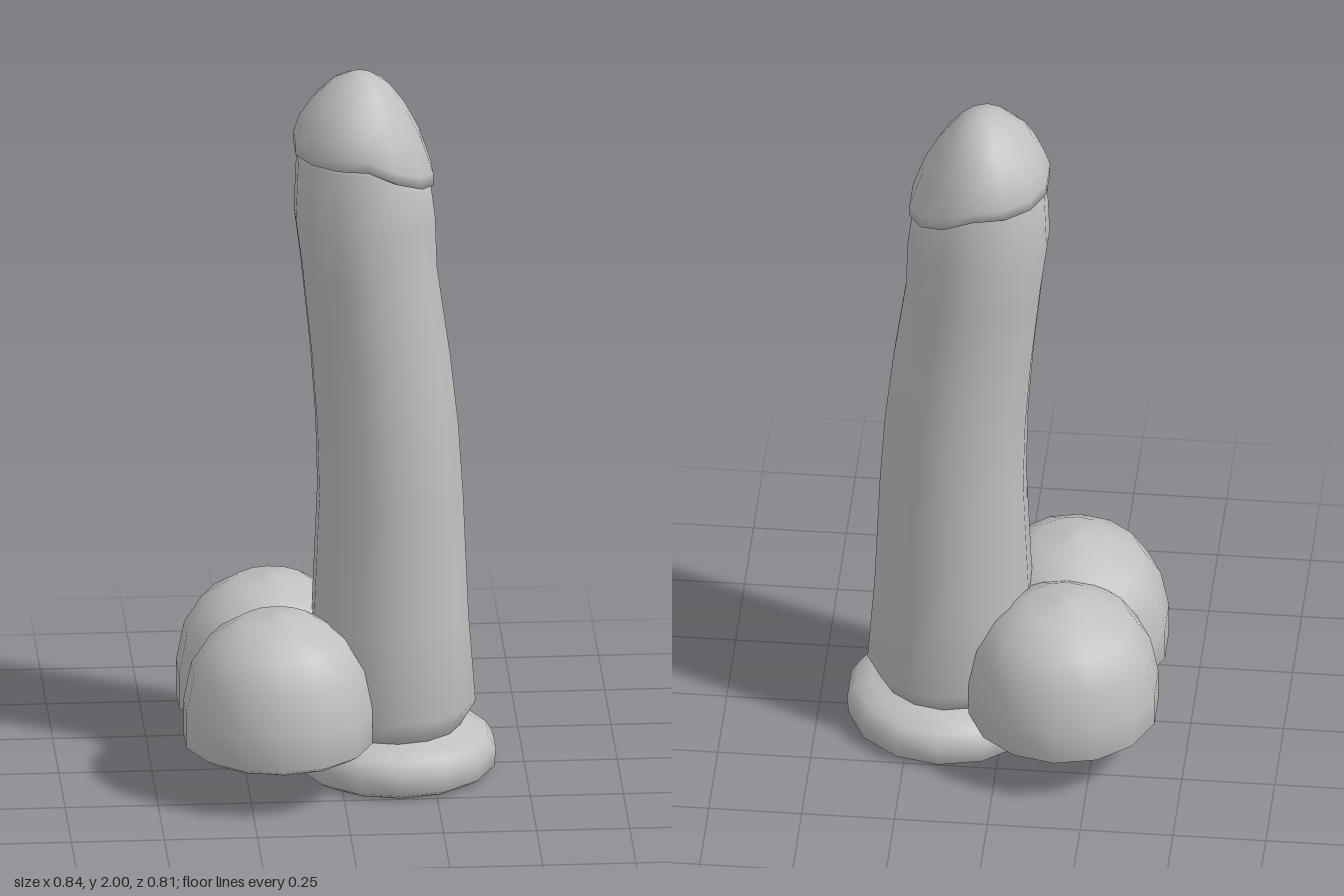
import * as THREE from 'three';

const SIDES = 14;

// Skin stacked rings [y, centre x, radius x, radius z, dip on the +x side]
function loft(rings) {
  const pos = [], index = [];
  for (const [y, cx, rx, rz, dip = 0] of rings) {
    for (let i = 0; i < SIDES; i++) {
      const a = ((i + 0.5) / SIDES) * Math.PI * 2, c = Math.cos(a);
      pos.push(cx + rx * c, y - dip * Math.max(0, c), -rz * Math.sin(a));
    }
  }
  for (let r = 0; r < rings.length - 1; r++) {
    for (let i = 0; i < SIDES; i++) {
      const j = (i + 1) % SIDES;
      const a = r * SIDES + i, b = r * SIDES + j, c = b + SIDES, d = a + SIDES;
      index.push(a, b, c, a, c, d);
    }
  }
  // close the top with a centre point
  const last = rings[rings.length - 1], top = (rings.length - 1) * SIDES;
  pos.push(last[1], last[0] + 0.006, 0);
  for (let i = 0; i < SIDES; i++) index.push(top + i, top + ((i + 1) % SIDES), rings.length * SIDES);
  const g = new THREE.BufferGeometry();
  g.setAttribute('position', new THREE.Float32BufferAttribute(pos, 3));
  g.setIndex(index);
  g.computeVertexNormals();
  return g;
}

const lathe = (pts) => new THREE.LatheGeometry(pts.map(([x, y]) => new THREE.Vector2(x, y)), SIDES);

export function createModel() {
  const group = new THREE.Group();
  const grey = new THREE.MeshStandardMaterial({ color: 0xc0c0c0 });
  grey.name = 'grey';
  const add = (name, geometry, x = 0, z = 0) => {
    const m = new THREE.Mesh(geometry, grey);
    m.name = name;
    m.position.set(x, 0, z);
    group.add(m);
  };

  // Gently curved shaft, narrowing to the neck at its foot
  add('shaft', loft([
    [0.1, 0.155, 0.16, 0.15],
    [0.135, 0.15, 0.185, 0.18],
    [0.2, 0.15, 0.222, 0.215],
    [0.45, 0.14, 0.213, 0.213],
    [0.8, 0.14, 0.198, 0.205],
    [1.0, 0.131, 0.194, 0.2],
    [1.2, 0.113, 0.19, 0.197],
    [1.45, 0.083, 0.185, 0.193],
    [1.6, 0.071, 0.192, 0.191],
    [1.77, 0.069, 0.183, 0.178, 0.09],
    [1.8, 0.069, 0.15, 0.15, 0.09],
  ]));

  // Rounded tip with a slanted rim
  add('tip', loft([
    [1.775, 0.069, 0.165, 0.165, 0.09],
    [1.785, 0.069, 0.19, 0.192, 0.1],
    [1.82, 0.068, 0.19, 0.2, 0.1],
    [1.87, 0.06, 0.165, 0.178, 0.05],
    [1.92, 0.056, 0.128, 0.15, 0.02],
    [1.965, 0.058, 0.082, 0.105, 0.005],
    [1.99, 0.06, 0.04, 0.05],
  ]));

  // Two flat-bottomed lobes
  const lobe = [[0, 0.125], [0.15, 0.125], [0.235, 0.13], [0.257, 0.145], [0.257, 0.24], [0.235, 0.35],
    [0.185, 0.43], [0.1, 0.485], [0, 0.5]];
  for (const s of [-1, 1]) add(s > 0 ? 'frontLobe' : 'backLobe', lathe(lobe), -0.171, s * 0.146);

  // Soft bridge filling the gap between the lobes
  const bridge = new THREE.SphereGeometry(1, SIDES, 8);
  bridge.scale(0.19, 0.145, 0.1);
  bridge.translate(0, 0.28, 0);
  add('lobeBridge', bridge, -0.15);

  // Round foot, slightly hollow underneath
  add('foot', lathe([[0, 0.03], [0.12, 0.025], [0.2, 0.008], [0.245, 0], [0.268, 0.015], [0.272, 0.065],
    [0.25, 0.1], [0.205, 0.122], [0.165, 0.13], [0.14, 0.15]]), 0.155);

  return group;
}
